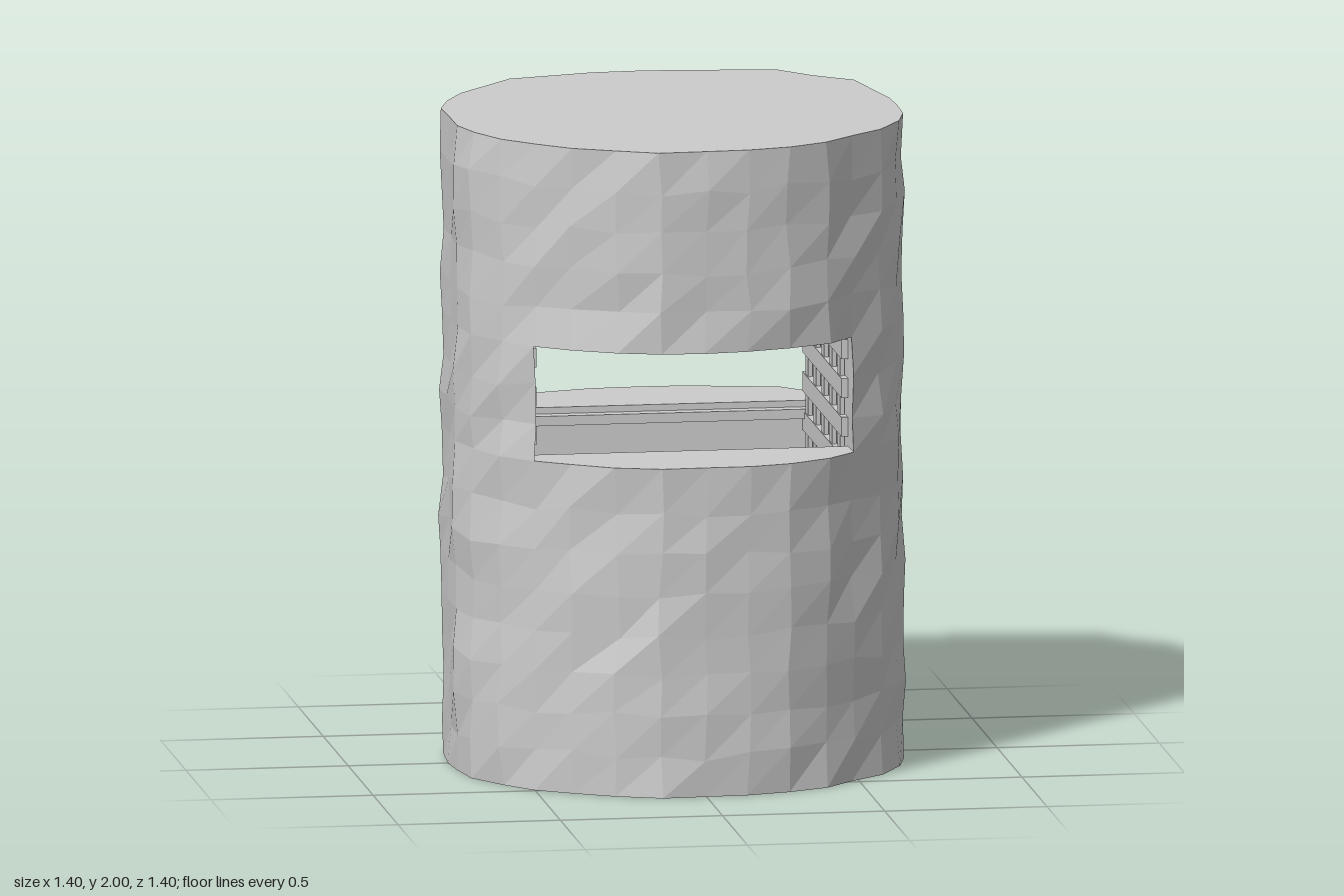
import * as THREE from 'three';

// Plan outline, counter-clockwise from the front centre: [x, z]
const OUTLINE = [
  [0, .69], [.13, .68], [.26, .65], [.39, .58], [.48, .49], [.58, .39], [.65, .26], [.69, .13],
  [.69, 0], [.68, -.13], [.66, -.27], [.62, -.43], [.52, -.535], [.42, -.63], [.13, -.685], [0, -.69],
  [-.14, -.685], [-.41, -.615], [-.505, -.505], [-.59, -.4], [-.65, -.27], [-.69, -.16], [-.69, 0],
  [-.69, .13], [-.66, .26], [-.59, .39], [-.5, .49], [-.4, .57], [-.27, .64], [-.14, .685],
];
const N = OUTLINE.length, ROWS = 16, SILL = 8, LINTEL = 11;
const SILL_Y = 1.02, LINTEL_Y = 1.375, PIT_Y = 0.3, ZI = 0.39, XL = -0.5, XR = 0.48;
const FRONT = [26, 27, 28, 29, 0, 1, 2, 3, 4];
const BACK = [12, 13, 14, 15, 16, 17, 18];

function seeded(seed) {
  return () => {
    seed = (seed * 16807) % 2147483647;
    return seed / 2147483647 - 0.5;
  };
}

export function createModel() {
  const group = new THREE.Group();
  const material = new THREE.MeshStandardMaterial({ color: 0xcccccc, flatShading: true, side: THREE.DoubleSide });
  const rnd = seeded(77);

  function add(name, geometry, x = 0, y = 0, z = 0) {
    const mesh = new THREE.Mesh(geometry, material);
    mesh.name = name;
    mesh.position.set(x, y, z);
    group.add(mesh);
  }
  function build(name, triangles) {
    const geometry = new THREE.BufferGeometry().setFromPoints(triangles);
    geometry.computeVertexNormals();
    add(name, geometry);
  }
  const quad = (a, b, c, d) => [a, b, c, a, c, d];
  const v = (x, y, z) => new THREE.Vector3(x, y, z);
  // Horizontal polygon as a fan around its centre
  function flat(points, up) {
    const centre = points.reduce((s, p) => s.add(p), v(0, 0, 0)).divideScalar(points.length);
    return points.flatMap((p, i) => {
      const q = points[(i + 1) % points.length];
      return up ? [centre, p, q] : [centre, q, p];
    });
  }

  // Rings of slightly uneven, hewn vertices
  const jambs = [4, 12, 18, 26];
  const rings = [];
  for (let r = 0; r <= ROWS; r++) {
    const level = r === 0 || r === ROWS || r === SILL || r === LINTEL;
    const base = r === SILL ? SILL_Y : r === LINTEL ? LINTEL_Y : r * 0.125;
    rings.push(OUTLINE.map(([x, z], i) => {
      const k = 1 + rnd() * 0.026;
      const turn = jambs.includes(i) ? 0 : rnd() * 0.025;
      const y = base + (level ? 0 : rnd() * 0.03);
      return v(x * k + z * turn, y, z * k - x * turn);
    }));
  }

  // Outer wall, leaving the front and back slots open
  const slotCells = new Set([...FRONT.slice(0, -1), ...BACK.slice(0, -1)]);
  const wall = [];
  for (let r = 0; r < ROWS; r++) {
    for (let i = 0; i < N; i++) {
      if (r >= SILL && r < LINTEL && slotCells.has(i)) continue;
      const j = (i + 1) % N;
      wall.push(...quad(rings[r][i], rings[r][j], rings[r + 1][j], rings[r + 1][i]));
    }
  }
  build('outerWall', wall);
  build('topCap', flat(rings[ROWS], true));
  build('bottomCap', flat(rings[0], false));

  // Slot ceiling and the two sills
  build('slotCeiling', flat([...FRONT, ...BACK].map(i => rings[LINTEL][i]), false));
  build('frontSill', flat([...FRONT.map(i => rings[SILL][i]), v(XR, SILL_Y, ZI), v(XL, SILL_Y, ZI)], true));
  build('backSill', flat([...BACK.map(i => rings[SILL][i]), v(XL, SILL_Y, -ZI), v(XR, SILL_Y, -ZI)], true));

  // Jambs join the outer wall to the inner chamber
  const jambFaces = [];
  for (const i of jambs) {
    const x = OUTLINE[i][0] > 0 ? XR : XL, z = Math.sign(OUTLINE[i][1]) * ZI;
    const flip = x * z < 0;
    for (let r = SILL; r < LINTEL; r++) {
      const a = rings[r][i], b = rings[r + 1][i];
      const c = v(x, b.y, z), d = v(x, a.y, z);
      jambFaces.push(...(flip ? quad(d, c, b, a) : quad(a, b, c, d)));
    }
  }
  build('slotJambs', jambFaces);

  // Sunken chamber behind the sills
  const chamber = [];
  const box = (y, z) => [v(XL, y, z), v(XR, y, z)];
  for (const z of [ZI, -ZI]) {
    const [a, b] = box(PIT_Y, z), [d, c] = box(SILL_Y, z);
    chamber.push(...(z < 0 ? quad(a, b, c, d) : quad(b, a, d, c)));
  }
  for (const x of [XL, XR]) {
    const s = x < 0 ? 1 : -1;
    chamber.push(...quad(v(x, PIT_Y, s * ZI), v(x, PIT_Y, -s * ZI), v(x, LINTEL_Y, -s * ZI), v(x, LINTEL_Y, s * ZI)));
  }
  chamber.push(...quad(v(XL, PIT_Y, ZI), v(XR, PIT_Y, ZI), v(XR, PIT_Y, -ZI), v(XL, PIT_Y, -ZI)));
  build('chamber', chamber);

  // Ribs and rails on the chamber's side walls
  const height = LINTEL_Y - PIT_Y;
  for (const [x, side] of [[XL + 0.01, 'right'], [XR - 0.01, 'left']]) {
    for (let i = -2; i <= 2; i++) {
      add(side + 'WallRib', new THREE.BoxGeometry(0.014, height, 0.05), x, PIT_Y + height / 2, i * 0.16);
    }
    for (let y = 0.48; y < 1.36; y += 0.12) {
      add(side + 'WallRail', new THREE.BoxGeometry(0.02, 0.06, 2 * ZI), x, y, 0);
    }
  }
  // Narrow ledge under each sill edge
  for (const z of [ZI, -ZI]) {
    add('sillLedge', new THREE.BoxGeometry(XR - XL, 0.03, 0.05), (XL + XR) / 2, SILL_Y - 0.035, z * 0.96);
  }
  return group;
}
